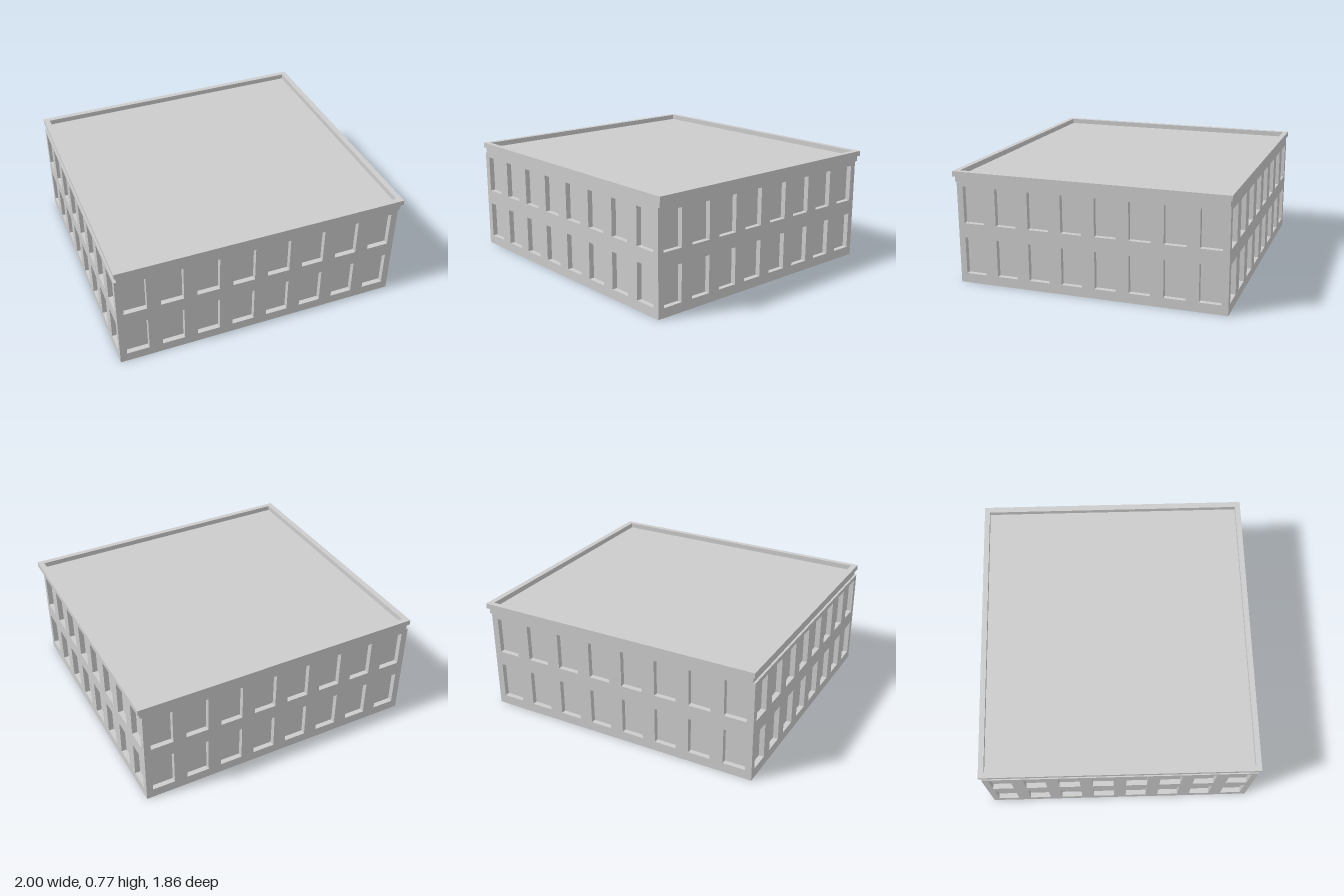
import * as THREE from 'three';

const material = new THREE.MeshStandardMaterial({ color: 0xcccccc });
const WALL_H = 0.7, DEPTH = 0.035, BAYS = 8;
const X0 = -1.0, X1 = 0.97, Z = 0.92;
const ROWS = [[0.065, 0.317], [0.417, 0.67]]; // window sill and head heights

function rect(path, x0, y0, x1, y1) {
  path.moveTo(x0, y0);
  path.lineTo(x1, y0);
  path.lineTo(x1, y1);
  path.lineTo(x0, y1);
  path.closePath();
  return path;
}

function mesh(name, geometry, x = 0, y = 0, z = 0) {
  const m = new THREE.Mesh(geometry, material);
  m.name = name;
  m.position.set(x, y, z);
  return m;
}

// Wall slab pierced by two rows of windows; its outer face is local z = 0
function facade(name, length, trim) {
  const half = length / 2, bay = length / BAYS, w = bay * 0.313;
  const shape = rect(new THREE.Shape(), -half + trim, 0, half - trim, WALL_H);
  for (let i = 0; i < BAYS; i++) {
    const c = -half + bay * (i + 0.5);
    for (const [sill, head] of ROWS) {
      shape.holes.push(rect(new THREE.Path(), c - w, sill, c + w, head));
    }
  }
  const geometry = new THREE.ExtrudeGeometry(shape, { depth: DEPTH, bevelEnabled: false });
  geometry.translate(0, 0, -DEPTH);
  return mesh(name, geometry);
}

// Square-cut ring lying flat, from y0 up to y1
function ring(name, outX, outZ, inX, inZ, y0, y1) {
  const shape = rect(new THREE.Shape(), -outX, -outZ, outX, outZ);
  shape.holes.push(rect(new THREE.Path(), -inX, -inZ, inX, inZ));
  const geometry = new THREE.ExtrudeGeometry(shape, { depth: y1 - y0, bevelEnabled: false });
  geometry.rotateX(-Math.PI / 2);
  return mesh(name, geometry, 0, y0, 0);
}

export function createModel() {
  const building = new THREE.Group();
  building.name = 'building';
  const cx = (X0 + X1) / 2, lenX = X1 - X0, lenZ = 2 * Z;

  // Four facades, each turned to face outwards
  const sides = [
    ['frontWall', lenX, 0, cx, Z, 0],
    ['backWall', lenX, 0, cx, -Z, Math.PI],
    ['leftWall', lenZ, DEPTH, X1, 0, Math.PI / 2],
    ['rightWall', lenZ, DEPTH, X0, 0, -Math.PI / 2],
  ];
  for (const [name, length, trim, x, z, turn] of sides) {
    const wall = facade(name, length, trim);
    wall.position.set(x, 0, z);
    wall.rotation.y = turn;
    building.add(wall);
  }

  // Solid core: its sides show as the window panes, its base as the floor
  building.add(mesh('windowPanes',
    new THREE.BoxGeometry(lenX - 2 * DEPTH, WALL_H, lenZ - 2 * DEPTH), cx, WALL_H / 2, 0));

  // Cornice band, carrying the flat roof
  building.add(mesh('corniceAndRoof',
    new THREE.BoxGeometry(1.97, 0.04, lenZ), 0, WALL_H + 0.02, 0));

  // Parapet cap around the roof
  building.add(ring('parapetCap', 1.0, 0.932, 0.96, 0.895, 0.74, 0.775));
  return building;
}
